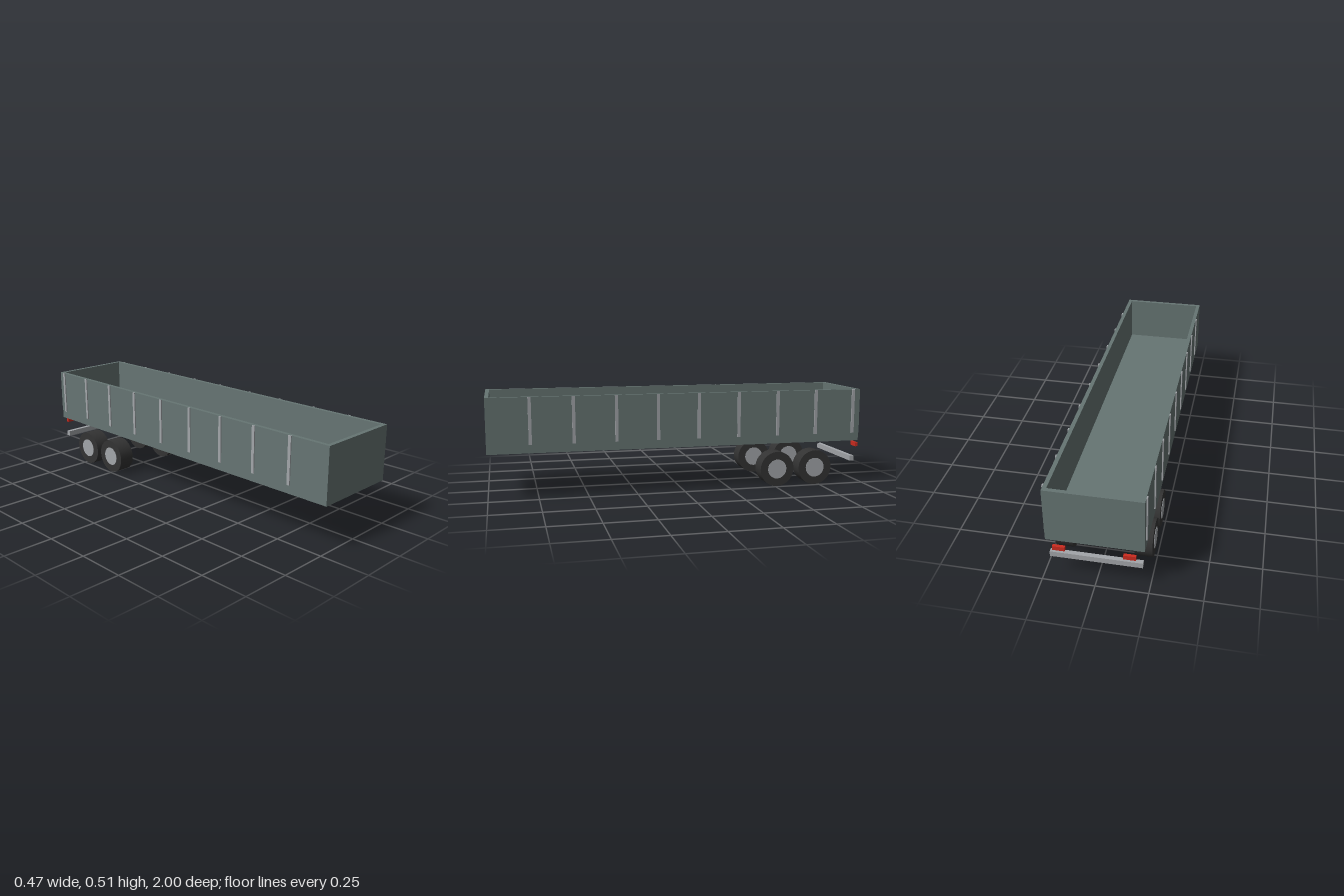
import * as THREE from 'three';

export function createModel() {
  const model = new THREE.Group();
  model.name = 'tipperTrailer';

  const material = (name, color) => {
    const m = new THREE.MeshStandardMaterial({ color });
    m.name = name;
    return m;
  };
  const bodyPaint = material('greyGreenPaint', 0x667573);
  const steel = material('lightSteel', 0xa3a6aa);
  const rubber = material('blackRubber', 0x333333);
  const red = material('redLens', 0xcc2b1f);

  // Box given by its minimum and maximum corners
  const box = (name, mat, [x0, y0, z0], [x1, y1, z1]) => {
    const mesh = new THREE.Mesh(new THREE.BoxGeometry(x1 - x0, y1 - y0, z1 - z0), mat);
    mesh.position.set((x0 + x1) / 2, (y0 + y1) / 2, (z0 + z1) / 2);
    mesh.name = name;
    model.add(mesh);
  };

  // Open-topped load body
  const W = 0.227, T = 0.02, bottom = 0.232, deck = 0.275, top = 0.513;
  const front = 1, back = -0.981;
  box('floor', bodyPaint, [-W, bottom, back], [W, deck, front]);
  box('frontWall', bodyPaint, [-W, deck, front - T], [W, top, front]);
  box('tailgate', bodyPaint, [-W, deck, back - 0.003], [W, top, back + T - 0.003]);

  for (const [side, s] of [['left', 1], ['right', -1]]) {
    const span = (a, b) => [Math.min(a * s, b * s), Math.max(a * s, b * s)];

    // Side wall between front wall and tailgate
    const [w0, w1] = span(W - T, W);
    box(side + 'Wall', bodyPaint, [w0, deck, back + T - 0.003], [w1, top, front - T]);

    // Evenly spaced upright ribs
    const [r0, r1] = span(W, W + 0.006);
    for (let i = 0; i < 9; i++) {
      const z = 0.786 - i * 0.2162;
      box(side + 'Rib', steel, [r0, deck, z - 0.008], [r1, top, z + 0.008]);
    }

    // Tail light
    const [l0, l1] = span(0.133, 0.191);
    box(side + 'TailLight', red, [l0, 0.191, -1], [l1, 0.213, -0.985]);

    // Tandem wheels: tyre with a hub showing on both faces
    for (const z of [-0.512, -0.728]) {
      const wheel = new THREE.Group();
      wheel.name = side + 'Wheel';
      const parts = [['tyre', rubber, 0.0935, 0.086, 28], ['hub', steel, 0.052, 0.09, 20]];
      for (const [name, mat, r, width, sides] of parts) {
        const mesh = new THREE.Mesh(new THREE.CylinderGeometry(r, r, width, sides), mat);
        mesh.rotation.z = Math.PI / 2;
        mesh.name = name;
        wheel.add(mesh);
      }
      wheel.position.set(s * 0.192, 0.0935, z);
      model.add(wheel);
    }
  }

  // Rear underrun bar
  box('rearBar', steel, [-0.216, 0.117, -0.965], [0.216, 0.145, -0.942]);

  return model;
}
